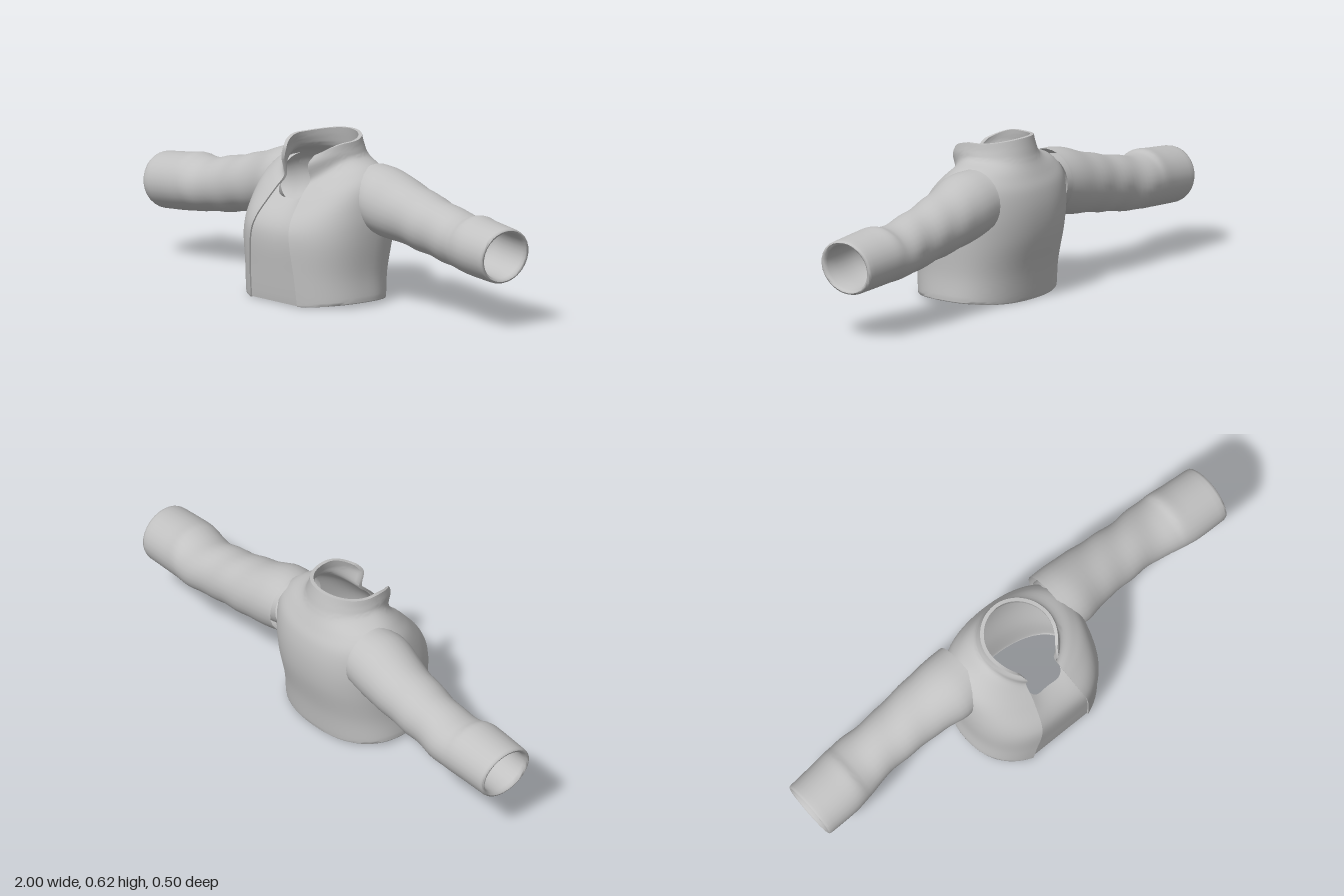
import * as THREE from 'three';
import { toCreasedNormals } from 'three/addons/utils/BufferGeometryUtils.js';

const cloth = new THREE.MeshStandardMaterial({ color: 0xc2c2c2, side: THREE.DoubleSide });
cloth.name = 'grey cloth';

const pow = (v, p) => Math.sign(v) * Math.abs(v) ** p;

// Catmull-Rom refinement of rows of section parameters
function refine(rows, n) {
  const out = [];
  for (let i = 0; i < rows.length - 1; i++) {
    const r = [rows[Math.max(i - 1, 0)], rows[i], rows[i + 1], rows[Math.min(i + 2, rows.length - 1)]];
    for (let k = 0; k < n; k++) {
      const t = k / n;
      out.push(r[1].map((b, j) => {
        const a = r[0][j], c = r[2][j], d = r[3][j];
        return b + 0.5 * t * (c - a + t * (2 * a - 5 * b + 4 * c - d + t * (3 * (b - c) + d - a)));
      }));
    }
  }
  out.push(rows[rows.length - 1]);
  return out;
}

// Skin a grid of points; skip(point) leaves holes, rims joins the two halves of the end loops
function loft(loops, { closed = true, skip = null, rims = false } = {}) {
  const m = loops[0].length, pts = loops.flat(), index = [];
  const quad = (a, b, c, d) => {
    if (skip) {
      const mid = [0, 1, 2].map((k) => (pts[a][k] + pts[b][k] + pts[c][k] + pts[d][k]) / 4);
      if (skip(mid)) return;
    }
    index.push(a, b, c, a, c, d);
  };
  for (let i = 0; i < loops.length - 1; i++) {
    for (let j = 0; j < (closed ? m : m - 1); j++) {
      const k = (j + 1) % m;
      quad(i * m + j, i * m + k, (i + 1) * m + k, (i + 1) * m + j);
    }
  }
  if (rims) {
    const top = (loops.length - 1) * m;
    for (let j = 0; j < m / 2 - 1; j++) {
      quad(j, m - 1 - j, m - 2 - j, j + 1);
      quad(top + j, top + j + 1, top + m - 2 - j, top + m - 1 - j);
    }
  }
  const g = new THREE.BufferGeometry();
  g.setAttribute('position', new THREE.Float32BufferAttribute(pts.flat(), 3));
  g.setIndex(index);
  return toCreasedNormals(g, 0.9);
}

// Body sections: y front, y side, y back, z front, z back, z of widest point, half width, half opening, power
const bodyRows = refine([
  [0.005, 0.018, 0.003, 0.224, -0.198, 0.0, 0.282, 0.135, 0.85],
  [0.02, 0.03, 0.018, 0.227, -0.201, 0.0, 0.285, 0.134, 0.85],
  [0.12, 0.12, 0.12, 0.237, -0.215, 0.0, 0.28, 0.128, 0.85],
  [0.25, 0.25, 0.25, 0.248, -0.243, -0.01, 0.288, 0.113, 0.85],
  [0.32, 0.36, 0.35, 0.232, -0.249, -0.04, 0.29, 0.1, 0.88],
  [0.39, 0.46, 0.43, 0.18, -0.238, -0.06, 0.28, 0.086, 0.93],
  [0.43, 0.515, 0.485, 0.145, -0.215, -0.06, 0.235, 0.079, 1],
  [0.47, 0.545, 0.54, 0.11, -0.19, -0.04, 0.167, 0.075, 1],
  [0.53, 0.575, 0.585, 0.122, -0.177, -0.025, 0.152, 0.076, 1],
  [0.568, 0.608, 0.625, 0.1, -0.167, -0.02, 0.146, 0.09, 1],
], 5);

function bodyArc([yf, ys, yb, zf, zb, zs, w, gap, p], inset, n = 56) {
  w -= inset; zf -= inset; zb += inset;
  const start = Math.asin((gap / w) ** (1 / p)), c0 = Math.cos(start);
  return Array.from({ length: n + 1 }, (_, j) => {
    const a = start + (2 * Math.PI - 2 * start) * j / n;
    const c = Math.cos(a), f = c > 0;
    const z = zs + (f ? (zf - zs) / c0 ** p : zs - zb) * pow(c, p);
    const y = ys + c * c * (f ? (yf - ys) / (c0 * c0) : yb - ys);
    return [w * pow(Math.sin(a), p), y, z];
  });
}

// Shell with lining, open in front and at the armholes
function makeBody() {
  const loops = bodyRows.map((r) => [...bodyArc(r, 0), ...bodyArc(r, 0.014).reverse()]);
  const armhole = ([x, y, z]) => Math.abs(x) > 0.2 && ((y - 0.375) / 0.095) ** 2 + ((z + 0.09) / 0.095) ** 2 < 1;
  return loft(loops, { skip: armhole, rims: true });
}

// Front panel filling the opening below the neckline
function makePanel() {
  const nu = 16, nv = 24, rows = [];
  const at = (y, k) => {
    let i = 0;
    while (i < bodyRows.length - 2 && bodyRows[i + 1][0] < y) i++;
    const a = bodyRows[i], b = bodyRows[i + 1];
    return a[k] + (b[k] - a[k]) * (y - a[0]) / (b[0] - a[0]);
  };
  for (let i = 0; i <= nv; i++) {
    const v = i / nv;
    rows.push(Array.from({ length: nu + 1 }, (_, j) => {
      const u = j / nu * 2 - 1;
      const y = 0.006 + v * (0.389 + 0.055 * u ** 4);
      return [u * (at(y, 7) + 0.006), y, at(y, 3) - 0.007 - 0.022 * (1 - u * u) * v ** 4];
    }));
  }
  return loft(rows, { closed: false });
}

// Sleeve sections: x, top, bottom, z front, z back
const sleeveRows = refine([
  [0.22, 0.53, 0.285, 0.03, -0.222],
  [0.3, 0.523, 0.262, 0.04, -0.225],
  [0.4, 0.49, 0.25, 0.018, -0.222],
  [0.5, 0.46, 0.236, 0.01, -0.218],
  [0.6, 0.436, 0.22, 0.003, -0.212],
  [0.7, 0.413, 0.206, 0.008, -0.218],
  [0.76, 0.409, 0.2, 0.022, -0.218],
  [0.8, 0.418, 0.196, 0.03, -0.216],
  [0.86, 0.41, 0.19, 0.036, -0.21],
  [0.975, 0.397, 0.182, 0.036, -0.202],
], 4);

function makeSleeve(side, n = 28) {
  const ring = ([x, top, bottom, zf, zb], k) => Array.from({ length: n }, (_, j) => {
    const a = j / n * 2 * Math.PI, c = Math.cos(a), s = side * Math.sin(a);
    // soft folds along the upper arm and elbow, fading at both ends
    const fade = Math.max(0, Math.sin((x - 0.3) / 0.55 * Math.PI)) * (x > 0.3 && x < 0.85 ? 1 : 0);
    const r = k * (1 + 0.022 * fade * Math.sin(x * 42 + 2 * a));
    const tilt = 0.014 * c * Math.min(1, Math.max(0, (x - 0.3) / 0.6));
    return [side * (x + tilt), (top + bottom) / 2 + r * c * (top - bottom) / 2, (zf + zb) / 2 + r * s * (zf - zb) / 2];
  });
  const end = sleeveRows[sleeveRows.length - 1];
  const lip = [[0.983, 0.98], [0.986, 0.93], [0.983, 0.87], [0.97, 0.83]];
  const loops = [
    ...sleeveRows.map((r) => ring(r, 1)),
    ...lip.map(([x, k]) => ring([x, ...end.slice(1)], k)),
    ...sleeveRows.slice(0, -2).reverse().map((r) => ring(r, 0.8)),
  ];
  return loft(loops);
}

export function createModel() {
  const group = new THREE.Group();
  group.name = 'jacket';
  const add = (name, geometry) => {
    const mesh = new THREE.Mesh(geometry, cloth);
    mesh.name = name;
    group.add(mesh);
  };
  add('bodyAndCollar', makeBody());
  add('frontPanel', makePanel());
  add('leftSleeve', makeSleeve(1));
  add('rightSleeve', makeSleeve(-1));
  return group;
}
